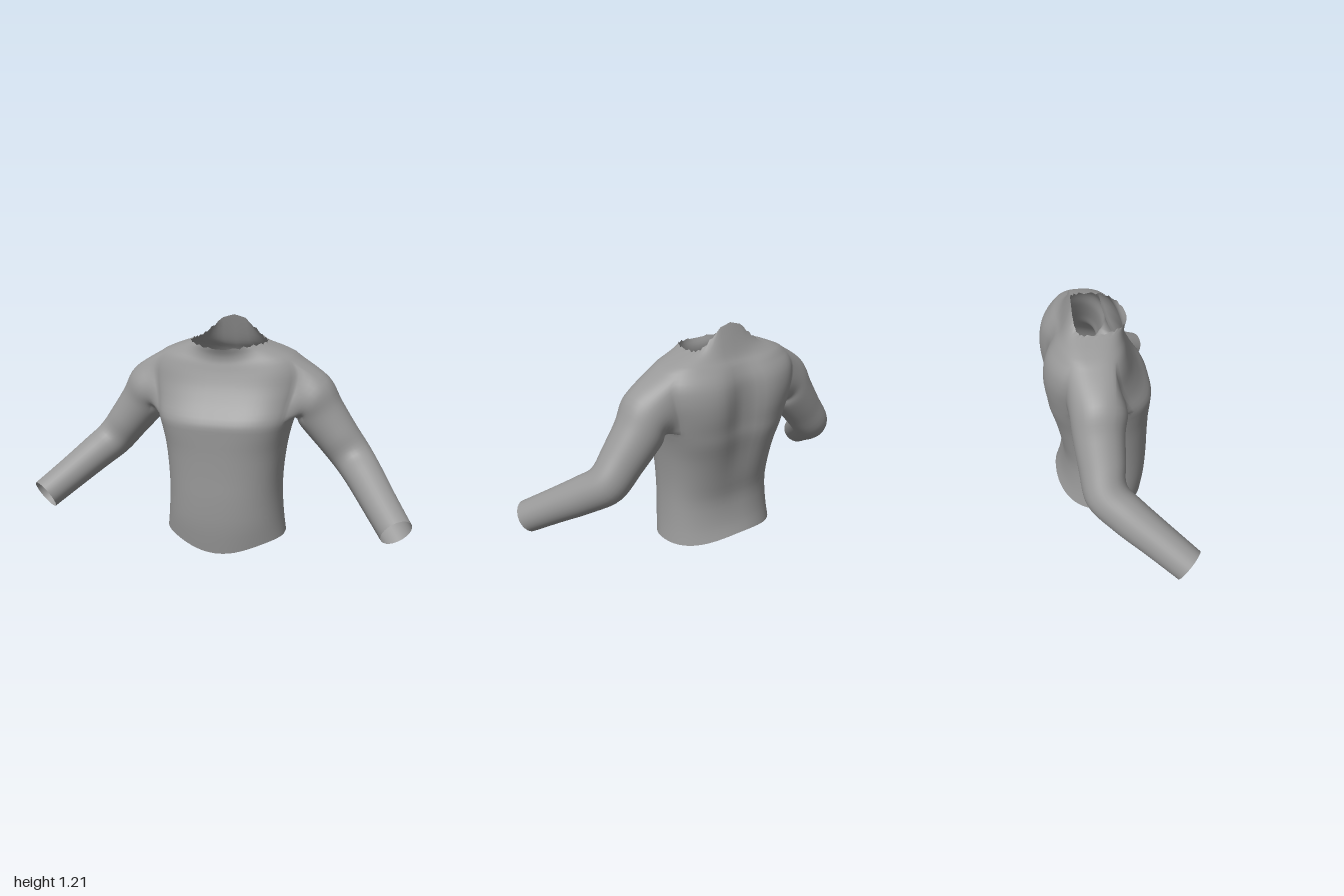
import * as THREE from 'three';

const U = 64, SUB = 3;          // points round the torso, steps between sections
const HOLE = { u0: 11, u1: 21, v0: 6 * SUB, v1: 10 * SUB };

// torso sections: y front, y side, y back, half width, z front, z side, z back, spine groove, squareness
const SECTIONS = [
  [0.00, 0.07, 0.105, 0.325, 0.172, -0.05, -0.295, 0, 2.2],
  [0.15, 0.17, 0.18, 0.312, 0.193, -0.05, -0.268, 0, 2.3],
  [0.30, 0.30, 0.30, 0.303, 0.2, -0.05, -0.255, 0.005, 2.4],
  [0.42, 0.42, 0.42, 0.305, 0.2, -0.05, -0.275, 0.01, 2.5],
  [0.55, 0.55, 0.55, 0.318, 0.203, -0.06, -0.305, 0.025, 2.6],
  [0.65, 0.65, 0.65, 0.337, 0.208, -0.07, -0.33, 0.035, 2.8],
  [0.715, 0.72, 0.72, 0.358, 0.205, -0.08, -0.34, 0.045, 2.8],
  [0.79, 0.80, 0.80, 0.378, 0.155, -0.10, -0.352, 0.055, 2.7],
  [0.87, 0.88, 0.88, 0.40, 0.113, -0.11, -0.352, 0.055, 2.6],
  [0.935, 0.96, 0.95, 0.405, 0.09, -0.11, -0.335, 0.045, 2.5],
  [0.98, 1.02, 1.01, 0.37, 0.078, -0.11, -0.295, 0.03, 2.4],
  [1.01, 1.055, 1.05, 0.30, 0.072, -0.11, -0.25, 0.01, 2.3],
  [1.04, 1.075, 1.11, 0.245, 0.075, -0.105, -0.218, 0, 2.2],
  [1.07, 1.09, 1.21, 0.20, 0.088, -0.10, -0.187, 0, 2.1],
];

// sleeve sections: centre x, y, z, radius
const SLEEVE = [
  [0.445, 0.81, -0.10, 0.136], [0.49, 0.73, -0.105, 0.125], [0.58, 0.615, -0.10, 0.112],
  [0.665, 0.51, -0.088, 0.104], [0.74, 0.44, 0.0, 0.096], [0.83, 0.355, 0.13, 0.088],
  [0.923, 0.269, 0.262, 0.082],
];

// Catmull-Rom value between b and c
function spline(a, b, c, d, t) {
  const cubic = 3 * (b - c) + d - a;
  const square = 2 * a - 5 * b + 4 * c - d;
  return b + 0.5 * t * (c - a + t * (square + t * cubic));
}

// smooth in-between rows for a list of number rows
function smoothRows(rows, sub) {
  const out = [], last = rows.length - 1;
  for (let i = 0; i < last; i++) {
    const a = rows[Math.max(i - 1, 0)], b = rows[i];
    const c = rows[i + 1], d = rows[Math.min(i + 2, last)];
    for (let k = 0; k < sub; k++) {
      out.push(b.map((_, j) => spline(a[j], b[j], c[j], d[j], k / sub)));
    }
  }
  out.push(rows[last]);
  return out;
}

// one point of a torso section
function torsoPoint([yF, yS, yB, w, zF, zS, zB, groove, n], u, isCollar) {
  const a = (u / U) * Math.PI * 2, s = Math.sin(a), c = Math.cos(a);
  const back = c < 0;
  const p = 2 / (back && yS > 1.02 ? n + (yS - 1.02) * 25 : n);
  const x = w * Math.sign(s) * Math.pow(Math.abs(s), p);
  const z = zS + ((back ? zB : zF) - zS) * Math.pow(Math.abs(c), p);
  const blend = Math.pow(Math.max(0, 1 - (x / w) * (x / w)), 2);
  let y = yS + ((back ? yB : yF) - yS) * blend;
  // ragged collar edge
  if (isCollar && Math.abs(x) > 0.05) y += 0.006 * Math.sin(u * 2.3);
  return [x, y, z + (back ? groove * Math.exp(-100 * x * x) : 0)];
}

// ring of a sleeve: points at the given angles round its centre
function sleeveRing(i, angles) {
  const at = (k) => new THREE.Vector3(...(k < 0 ? [0.3, 0.86, -0.1] : SLEEVE[Math.min(k, SLEEVE.length - 1)]));
  const along = at(i + 1).sub(at(i - 1)).normalize();
  const front = new THREE.Vector3(0, 0, 1).addScaledVector(along, -along.z).normalize();
  const up = front.clone().cross(along);
  const r = SLEEVE[i][3];
  return angles.flatMap((f) => at(i)
    .addScaledVector(front, r * Math.cos(f)).addScaledVector(up, r * Math.sin(f)).toArray());
}

export function createModel() {
  const group = new THREE.Group();
  const material = new THREE.MeshStandardMaterial({ color: 0x999999, side: THREE.DoubleSide });
  material.name = 'grey cloth';
  const positions = [];
  const faces = { torso: [], leftSleeve: [], rightSleeve: [] };
  const quad = (list, a, b, c, d) => list.push(a, b, c, a, c, d);

  // torso skin with an opening for each sleeve
  const rows = smoothRows(SECTIONS, SUB);
  rows.forEach((row, v) => {
    for (let u = 0; u < U; u++) positions.push(...torsoPoint(row, u, v === rows.length - 1));
  });
  const id = (u, v) => v * U + ((u + U) % U);
  const { u0, u1, v0, v1 } = HOLE;
  for (let v = 0; v < rows.length - 1; v++) {
    for (let u = 0; u < U; u++) {
      const m = u < U / 2 ? u : U - 1 - u;
      if (m >= u0 && m < u1 && v >= v0 && v < v1) continue;
      quad(faces.torso, id(u, v), id(u + 1, v), id(u + 1, v + 1), id(u, v + 1));
    }
  }

  // edge of the sleeve opening: up the front, over the shoulder, down the back, under the arm
  const edge = [];
  for (let v = v0; v < v1; v++) edge.push([u0, v]);
  for (let u = u0; u < u1; u++) edge.push([u, v1]);
  for (let v = v1; v > v0; v--) edge.push([u1, v]);
  for (let u = u1; u > u0; u--) edge.push([u, v0]);
  const K = edge.length;
  const edgePoints = edge.map(([u, v]) => positions.slice(id(u, v) * 3, id(u, v) * 3 + 3));
  const angles = edgePoints.map(([, y, z]) => Math.atan2(y - 0.87, z + 0.1));
  const rings = smoothRows(
    [edgePoints.flat(), ...SLEEVE.map((_, i) => sleeveRing(i, angles))], 5);

  // sleeves grow out of the torso skin, mirrored left and right
  for (const side of [1, -1]) {
    const list = side > 0 ? faces.leftSleeve : faces.rightSleeve;
    let previous = edge.map(([u, v]) => id(side * u, v));
    for (const ring of rings.slice(1)) {
      const start = positions.length / 3;
      for (let k = 0; k < K; k++) positions.push(side * ring[3 * k], ring[3 * k + 1], ring[3 * k + 2]);
      const next = previous.map((_, k) => start + k);
      for (let k = 0; k < K; k++) {
        const j = (k + 1) % K;
        if (side > 0) quad(list, previous[k], next[k], next[j], previous[j]);
        else quad(list, previous[k], previous[j], next[j], next[k]);
      }
      previous = next;
    }
  }

  // normals are shared so that the seams between parts stay smooth
  const whole = new THREE.BufferGeometry();
  whole.setAttribute('position', new THREE.Float32BufferAttribute(positions, 3));
  whole.setIndex(Object.values(faces).flat());
  whole.computeVertexNormals();
  for (const [name, index] of Object.entries(faces)) {
    const geometry = new THREE.BufferGeometry();
    geometry.setAttribute('position', whole.attributes.position);
    geometry.setAttribute('normal', whole.attributes.normal);
    geometry.setIndex(index);
    const mesh = new THREE.Mesh(geometry, material);
    mesh.name = name;
    group.add(mesh);
  }
  return group;
}
